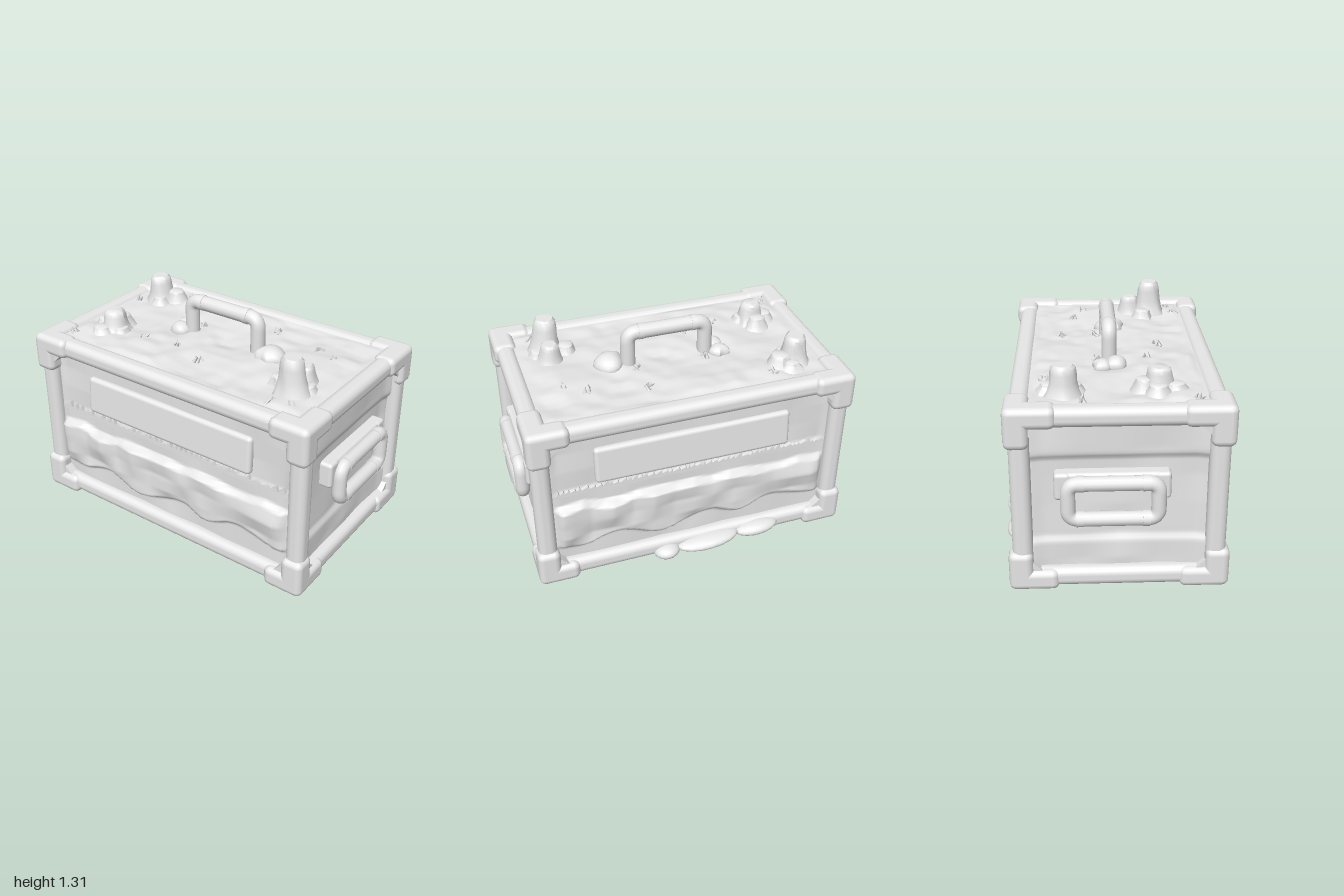
import * as THREE from 'three';
import { RoundedBoxGeometry } from 'three/addons/geometries/RoundedBoxGeometry.js';
import { ConvexGeometry } from 'three/addons/geometries/ConvexGeometry.js';
import { toCreasedNormals } from 'three/addons/utils/BufferGeometryUtils.js';

const grey = new THREE.MeshStandardMaterial({ color: 0xe7e7e7 });
grey.name = 'clay grey';

let seed = 7;
const rand = () => (seed = (seed * 16807) % 2147483647) / 2147483647;

// lumpy noise in -1..1 on a unit lattice
function noise(x, y) {
  const at = (i, j) => { const s = Math.sin(i * 127.1 + j * 311.7) * 43758.5; return (s - Math.floor(s)) * 2 - 1; };
  const i = Math.floor(x), j = Math.floor(y), u = x - i, v = y - j;
  return (at(i, j) * (1 - u) + at(i + 1, j) * u) * (1 - v) + (at(i, j + 1) * (1 - u) + at(i + 1, j + 1) * u) * v;
}

const step = (a, b, v) => THREE.MathUtils.smoothstep(v, a, b);

function add(parent, name, geometry, x = 0, y = 0, z = 0) {
  const mesh = new THREE.Mesh(geometry, grey);
  mesh.name = name;
  mesh.position.set(x, y, z);
  parent.add(mesh);
  return mesh;
}

// box given by its limits on each axis
function block(parent, name, [x0, x1], [y0, y1], [z0, z1], r = 0.03) {
  const g = new RoundedBoxGeometry(x1 - x0, y1 - y0, z1 - z0, 3, r);
  return add(parent, name, g, (x0 + x1) / 2, (y0 + y1) / 2, (z0 + z1) / 2);
}

// sheet in the local xy plane, pushed outward by height(x, y)
function sheet(w, h, nx, ny, height) {
  const g = new THREE.PlaneGeometry(w, h, nx, ny);
  const p = g.attributes.position;
  for (let i = 0; i < p.count; i++) p.setZ(i, height(p.getX(i), p.getY(i)));
  g.computeVertexNormals();
  return g;
}

// rounded polyline for the handles
function roundedPath(points, r, closed) {
  const path = new THREE.CurvePath();
  const n = points.length;
  let from = closed ? null : points[0];
  let first = null;
  for (let i = closed ? 0 : 1; i < (closed ? n : n - 1); i++) {
    const c = points[i];
    const a = c.clone().add(points[(i + n - 1) % n].clone().sub(c).setLength(r));
    const b = c.clone().add(points[(i + 1) % n].clone().sub(c).setLength(r));
    if (from) path.add(new THREE.LineCurve3(from, a));
    else first = a;
    path.add(new THREE.QuadraticBezierCurve3(a, c, b));
    from = b;
  }
  path.add(new THREE.LineCurve3(from, closed ? first : points[n - 1]));
  return path;
}

function buildFrame(body) {
  // edge bars
  const railX = { '-1': [-0.58, -0.468], 1: [0.468, 0.58] };
  const railY = { '-1': [0.012, 0.125], 1: [0.97, 1.082] };
  const railZ = { '-1': [-0.945, -0.835], 1: [0.835, 0.945] };
  for (const s of [-1, 1]) for (const t of [-1, 1]) {
    block(body, 'cornerPost', railX[s], [0.05, 1.05], railZ[t], 0.045);
    block(body, 'longRail', railX[s], railY[t], [-0.91, 0.91], 0.045);
    block(body, 'crossRail', [-0.55, 0.55], railY[s], railZ[t], 0.045);
  }
  // three-armed corner guards, measured inward from the outer corner
  const arms = [[0.275, 0.12, 0.135], [0.135, 0.235, 0.135], [0.135, 0.12, 0.245]];
  const thick = [0.135, 0.12, 0.135];
  for (const sx of [-1, 1]) for (const sy of [-1, 1]) for (const sz of [-1, 1]) {
    const guard = new THREE.Group();
    guard.name = 'cornerGuard';
    guard.position.y = 0.545;
    body.add(guard);
    const place = ([x, y, z]) => new THREE.Vector3(sx * (0.603 - x), sy * (0.545 - y), sz * (0.96 - z));
    for (const size of arms) {
      const mid = place(size.map((d) => d / 2));
      add(guard, 'guardArm', new RoundedBoxGeometry(...size, 2, 0.038), mid.x, mid.y, mid.z);
    }
    // sloping web between each pair of arms
    for (let a = 0; a < 3; a++) {
      const b = (a + 1) % 3, c = (a + 2) % 3, points = [];
      for (const depth of [0.025, 0.125]) {
        for (const [da, db] of [[-0.03, -0.03], [0.055, -0.03], [0.055, -0.01], [-0.01, 0.055], [-0.03, 0.055]]) {
          const p = [0, 0, 0];
          p[a] = thick[a] + da;
          p[b] = thick[b] + db;
          p[c] = depth;
          points.push(place(p));
        }
      }
      add(guard, 'guardWeb', new ConvexGeometry(points));
    }
  }
}

// uneven strip of upright grass points
function fringeGeometry() {
  const s = new THREE.Shape();
  const L = 0.82;
  s.moveTo(-L, 0.605);
  for (let x = -L; x < L; x += 0.04) s.lineTo(x, 0.594 + 0.02 * rand());
  s.lineTo(L, 0.605);
  for (let x = L - 0.01; x > -L + 0.02; x -= 0.02 + 0.03 * rand()) {
    s.lineTo(x, 0.617 + 0.008 * rand());
    s.lineTo(x - 0.008, 0.632 + 0.035 * rand() * rand());
  }
  return new THREE.ExtrudeGeometry(s, { depth: 0.022, bevelEnabled: false });
}

function buildSide(body, angle) {
  const side = new THREE.Group();
  side.name = 'sidePanel';
  side.rotation.y = angle;
  body.add(side);
  // layered wall: flat top, bulging soil with wavy edges, plain base
  const wall = sheet(1.76, 0.98, 110, 80, (u, v) => {
    const y = v + 0.545;
    const top = 0.505 + 0.016 * noise(u * 9, 3);
    const low = 0.235 + 0.025 * Math.sin(u * 13 + 1) + 0.03 * noise(u * 7, 8);
    const soil = step(low - 0.01, low + 0.015, y) * (1 - step(top - 0.015, top + 0.012, y));
    const edge = 1 - step(0.79, 0.84, Math.abs(u));
    const bulge = 0.026 + 0.02 * step(0.22, 0.45, y) + 0.018 * noise(u * 8, y * 10);
    return 0.525 + edge * (soil * bulge - 0.01 * step(0.6, 0.63, y) + 0.006 * noise(u * 5, y * 8));
  });
  add(side, 'soilWall', wall, 0, 0.545, 0);
  const plate = block(side, 'namePlate', [-0.585, 0.585], [0.65, 0.88], [0.495, 0.55], 0.024);
  plate.rotation.x = -0.07;
  add(side, 'grassFringe', fringeGeometry(), 0, 0, 0.523);
}

function buildEnd(body, angle) {
  const end = sheet(1.06, 0.98, 40, 60, (x, v) => {
    const y = v + 0.545;
    const inset = step(0.27, 0.31, y) * (1 - step(0.77, 0.8, y));
    // the sheet curves up to meet the posts
    return 0.888 - 0.018 * inset + 0.015 * step(0.4, 0.48, Math.abs(x)) + 0.008 * noise(x * 5, y * 6);
  });
  add(body, 'endPanel', end, 0, 0.545, 0).rotation.y = angle;
}

function buildEndHandle(root, angle) {
  const h = new THREE.Group();
  h.name = 'endHandle';
  h.rotation.y = angle;
  root.add(h);
  const pts = [[-0.245, 0.455], [0.235, 0.455], [0.235, 0.665], [-0.245, 0.665]]
    .map(([x, y]) => new THREE.Vector3(x, y, 0.957));
  add(h, 'handleLoop', new THREE.TubeGeometry(roundedPath(pts, 0.06, true), 120, 0.041, 14, true));
  block(h, 'handleMount', [-0.31, 0.3], [0.62, 0.71], [0.85, 0.935], 0.02);
  for (const s of [-1, 1]) {
    block(h, 'mountLeg', s < 0 ? [-0.318, -0.23] : [0.22, 0.302], [0.555, 0.71], [0.85, 0.94], 0.02);
    // collars around the two long grips
    for (const y of [0.455, 0.665]) {
      const c = add(h, 'collar', new THREE.CylinderGeometry(0.044, 0.044, 0.04, 16), s * 0.175 - 0.005, y, 0.957);
      c.rotation.z = Math.PI / 2;
    }
  }
}

// rounded geometry made uneven by pushing vertices sideways
function roughen(g, amount, scale, shift) {
  const p = g.attributes.position;
  for (let i = 0; i < p.count; i++) {
    const a = Math.atan2(p.getZ(i), p.getX(i));
    const k = 1 + amount * noise(Math.cos(a) * 2 + shift * 7, Math.sin(a) * 2 + p.getY(i) * scale);
    p.setX(i, p.getX(i) * k);
    p.setZ(i, p.getZ(i) * k);
  }
  return toCreasedNormals(g, 0.7);
}

// blunt rock with a rounded tip and a flared foot
function rock(parent, x, z, base, tip, top) {
  const y0 = 1.04, h = top - y0;
  const profile = [[base * 1.4, 0], [base * 1.05, 0.25 * h], [base * 0.9, 0.5 * h], [tip * 1.1, 0.75 * h], [tip, 0.92 * h],
    [tip * 0.75, h], [0, h]].map(([r, y]) => new THREE.Vector2(r, y));
  add(parent, 'rock', roughen(new THREE.LatheGeometry(profile, 18), 0.16, 9, x + z), x, y0, z);
}

function buildTop(root, body) {
  // uneven ground that rises to meet the rails
  const ground = sheet(1.0, 1.72, 60, 90, (x, v) => {
    const edge = (1 - step(0.43, 0.48, Math.abs(x))) * (1 - step(0.79, 0.85, Math.abs(v)));
    return 1.064 + edge * (0.004 + 0.016 * noise(x * 6, v * 6) + 0.008 * noise(x * 14, v * 14));
  });
  add(body, 'ground', ground).rotation.x = -Math.PI / 2;
  // rocks: x, z, base radius, tip radius, top height
  const rocks = [
    [-0.3, 0.66, 0.085, 0.063, 1.28], [-0.17, 0.66, 0.07, 0.05, 1.18], [-0.25, 0.55, 0.065, 0.045, 1.12],
    [-0.24, 0.72, 0.06, 0.04, 1.11], [-0.25, -0.64, 0.08, 0.058, 1.19], [-0.34, -0.67, 0.07, 0.045, 1.11],
    [-0.17, -0.65, 0.07, 0.045, 1.13], [-0.24, -0.72, 0.07, 0.045, 1.12], [-0.27, -0.58, 0.06, 0.04, 1.1],
    [0.26, -0.7, 0.08, 0.062, 1.23], [0.29, -0.6, 0.075, 0.05, 1.14], [0.34, -0.65, 0.07, 0.04, 1.11],
    [0.2, -0.66, 0.06, 0.035, 1.11],
  ];
  rocks.forEach((r) => rock(root, ...r));
  // mounds at the feet of the carrying handle
  for (const [x, z, r, h] of [[-0.03, 0.34, 0.09, 0.07], [-0.04, -0.3, 0.065, 0.055], [0.04, -0.32, 0.06, 0.045]]) {
    const g = roughen(new THREE.SphereGeometry(r, 20, 12), 0.2, 10, x + z);
    add(root, 'mound', g, x, 1.065, z).scale.y = h / r;
  }
  // grass tufts
  const spots = [[-0.45, -0.8], [-0.27, -0.4], [-0.22, -0.17], [0.07, -0.22], [-0.3, 0.04], [0.07, 0.21],
    [0.28, 0.2], [0.2, 0.53], [0.14, 0.66], [-0.45, 0.62], [-0.42, 0.74], [0.17, -0.8], [0.37, -0.52]];
  for (const [x, z] of spots) for (let i = 0; i < 4; i++) {
    const blade = add(root, 'grassBlade', new THREE.ConeGeometry(0.014, 0.05, 4),
      x + (rand() - 0.5) * 0.04, 1.078, z + (rand() - 0.5) * 0.04);
    blade.rotation.set((rand() - 0.5) * 1.6, 0, (rand() - 0.5) * 1.6);
  }
  // carrying handle with elbow collars
  const pts = [[1.05, 0.238], [1.267, 0.238], [1.267, -0.235], [1.05, -0.235]]
    .map(([y, z]) => new THREE.Vector3(0, y, z));
  add(root, 'topHandle', new THREE.TubeGeometry(roundedPath(pts, 0.06, false), 80, 0.044, 14, false));
  for (const z of [-0.16, 0.16]) {
    add(root, 'collar', new THREE.CylinderGeometry(0.047, 0.047, 0.03, 16), 0, 1.267, z).rotation.x = Math.PI / 2;
  }
}

function buildBase(body) {
  block(body, 'basePlate', [-0.52, 0.52], [0.065, 0.105], [-0.88, 0.88], 0.01);
  // staggered cobbles facing down
  const cols = 5, rows = 8, w = 0.94 / cols, d = 1.68 / rows;
  for (let j = 0; j < rows; j++) for (let i = 0; i < cols; i++) {
    const g = new RoundedBoxGeometry(w * 1.01, 0.04, d * 0.99, 2, 0.012);
    const stone = add(body, 'cobble', g, (i - 2) * w, 0.068 - rand() * 0.012,
      (j - 3.5) * d + (i % 2 ? 0.03 : -0.03));
    stone.rotation.set((rand() - 0.5) * 0.16, (rand() - 0.5) * 0.3, (rand() - 0.5) * 0.16);
  }
}

export function createModel() {
  const root = new THREE.Group();
  root.name = 'crate';
  const body = new THREE.Group();
  body.name = 'body';
  body.position.x = -0.031;
  root.add(body);
  buildFrame(body);
  buildBase(body);
  for (const s of [-1, 1]) {
    buildSide(body, (s * Math.PI) / 2);
    buildEnd(body, s > 0 ? 0 : Math.PI);
    buildEndHandle(root, s > 0 ? 0 : Math.PI);
  }
  buildTop(root, body);
  // soil spilling over the lower left rail: z, y, length, reach
  for (const [z, y, len, out] of [[-0.4, 0.072, 0.14, 0.07], [-0.08, 0.062, 0.2, 0.088], [0.18, 0.045, 0.08, 0.072]]) {
    const lump = add(root, 'soilSpill', new THREE.SphereGeometry(1, 18, 12), 0.545, y, z);
    lump.scale.set(out, 0.042, len);
    lump.rotation.x = 0.06;
  }
  return root;
}
